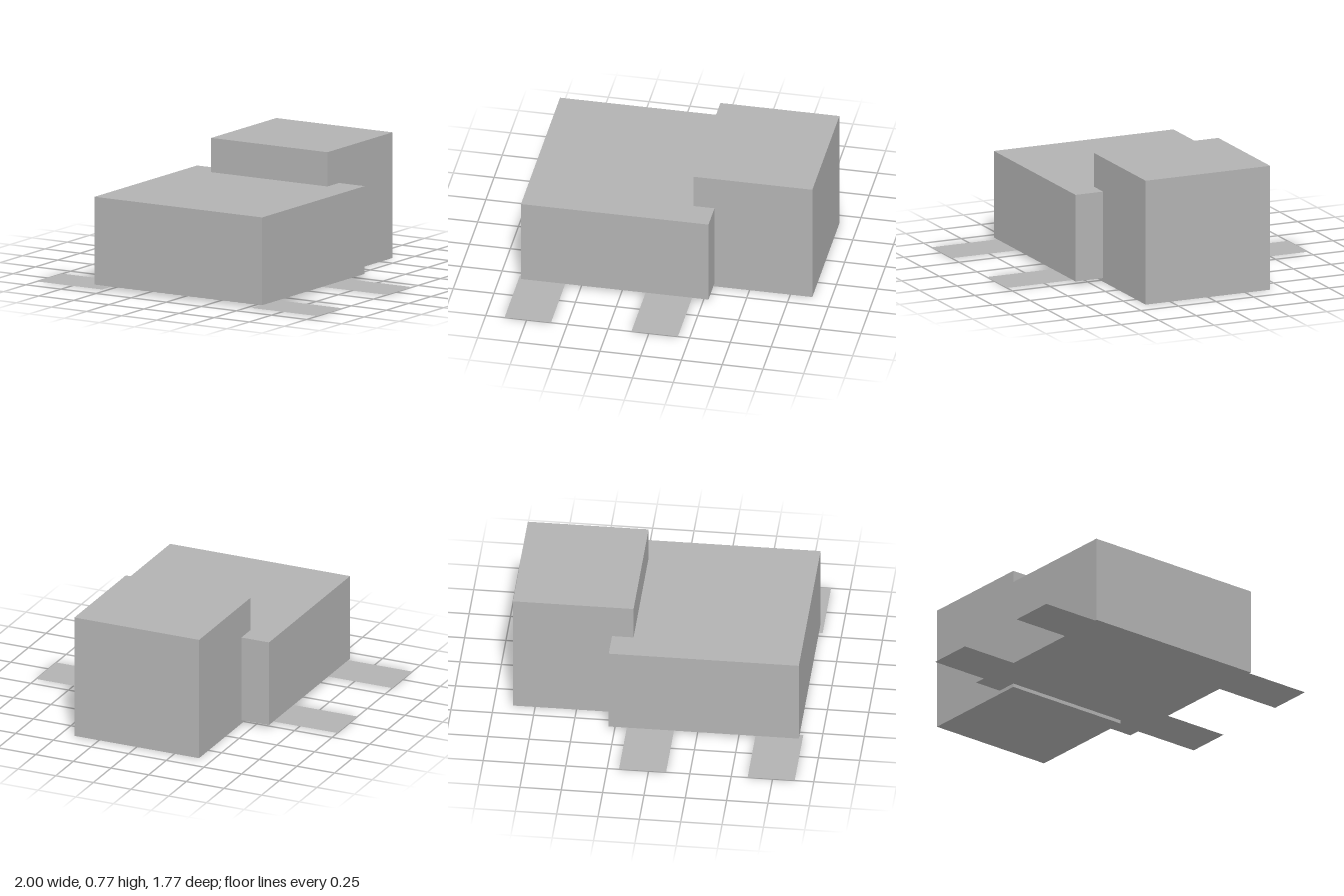
import * as THREE from 'three';

export function createModel() {
  const model = new THREE.Group();
  const grey = new THREE.MeshStandardMaterial({ color: 0xb2b2b2, side: THREE.DoubleSide });
  grey.name = 'grey';

  // Axis-aligned block given by half width and its y and z limits
  function block(name, halfWidth, y0, y1, z0, z1) {
    const mesh = new THREE.Mesh(new THREE.BoxGeometry(halfWidth * 2, y1 - y0, z1 - z0), grey);
    mesh.position.set(0, (y0 + y1) / 2, (z0 + z1) / 2);
    mesh.name = name;
    model.add(mesh);
  }

  block('body', 0.597, 0.022, 0.56, -0.285, 0.865);
  block('head', 0.414, 0, 0.77, -0.885, -0.155);

  // Four flat legs lying on the ground, tucked slightly under the body
  const inner = 0.53, outer = 1, depth = 0.285;
  for (const [end, z] of [['front', 0.742], ['back', -0.036]]) {
    for (const [side, sign] of [['Left', 1], ['Right', -1]]) {
      const geometry = new THREE.PlaneGeometry(outer - inner, depth).rotateX(-Math.PI / 2);
      const leg = new THREE.Mesh(geometry, grey);
      leg.position.set(sign * (inner + outer) / 2, 0.002, z);
      leg.name = `${end}${side}Leg`;
      model.add(leg);
    }
  }
  return model;
}
